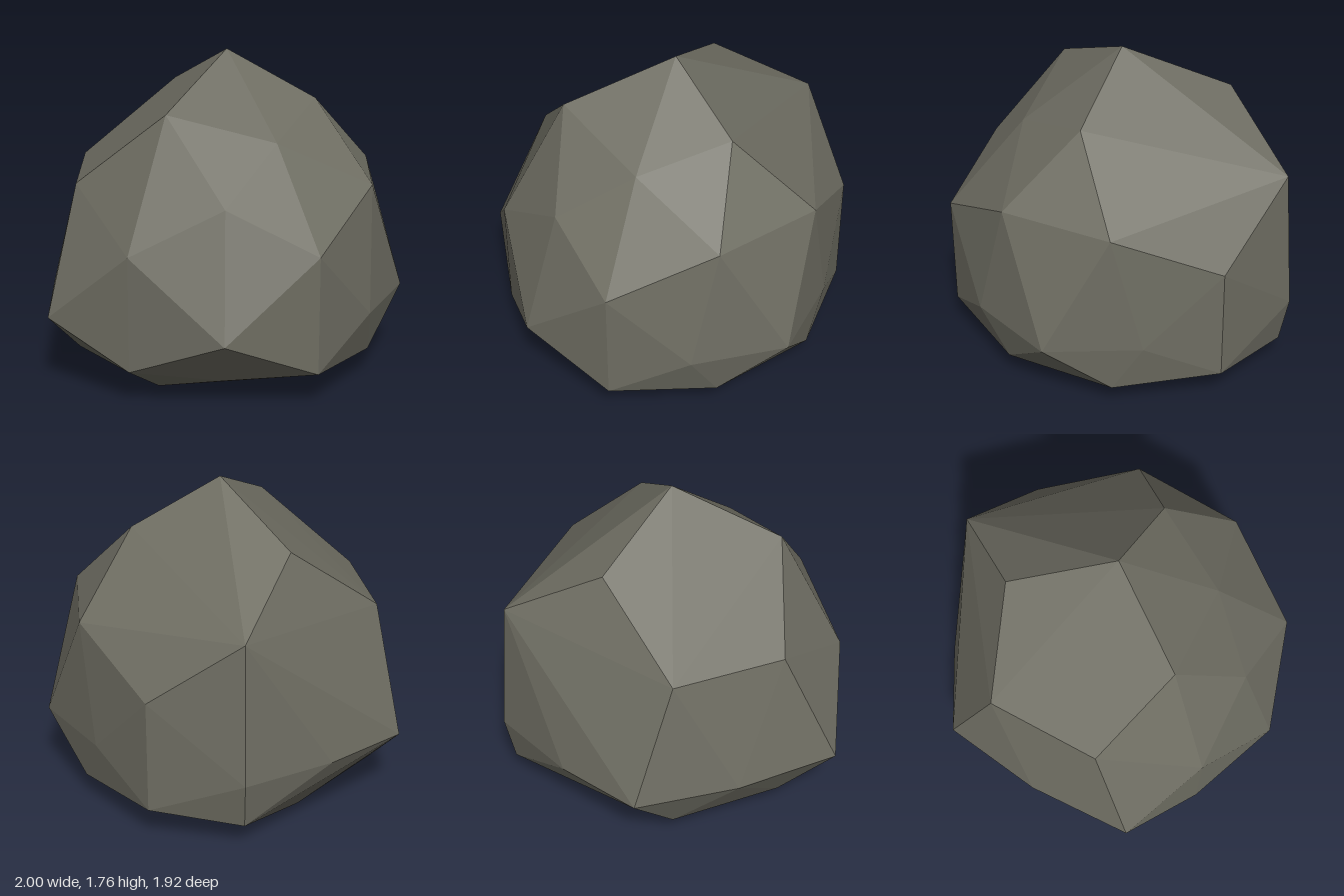
import * as THREE from 'three';
import { ConvexGeometry } from 'three/addons/geometries/ConvexGeometry.js';

export function createModel() {
  const group = new THREE.Group();
  group.name = 'boulder';
  const stone = new THREE.MeshStandardMaterial({ color: 0x6e6d62, flatShading: true });
  stone.name = 'stone';

  // corners of the rock, grouped by height
  const crown = [
    [0.08, 1.76, 0], [-0.42, 1.5, -0.32], [0.03, 1.5, 0.6], [0.52, 1.49, -0.21],
    [0.13, 1.33, -0.52], [0.53, 1.34, 0.3],
  ];
  const shoulder = [
    [-0.8, 1.09, 0.08], [-0.5, 1.08, 0.65], [0.44, 1.07, 0.72],
    [0.93, 1.08, -0.06], [0.66, 1.08, -0.64], [-0.35, 1.2, -0.87],
  ];
  const flank = [[0, 0.82, 0.96], [0.89, 0.83, 0.53], [0.16, 0.83, -0.96]];
  const belt = [
    [-1, 0.41, -0.11], [-0.8, 0.41, 0.44], [-0.5, 0.41, 0.96], [0.54, 0.41, 0.92], [1, 0.41, 0.1],
    [0.97, 0.41, -0.44], [0.54, 0.41, -0.76], [-0.37, 0.41, -0.92], [-0.73, 0.41, -0.53],
  ];
  const base = [
    [0.08, 0, 0], [-0.5, 0.025, -0.38], [0.03, 0.025, 0.7], [0.62, 0.012, -0.25], [0.15, 0.06, -0.6],
  ];
  // the underside repeats the shoulder and flank outline, squashed towards the ground
  const lowered = (ring, y) => ring.map(([x, , z]) => [x, y, z]);

  const corners = [
    ...crown, ...shoulder, ...flank, ...belt,
    ...lowered(flank, 0.19), ...lowered(shoulder, 0.14), ...base,
  ].map((p) => new THREE.Vector3(...p));

  const rock = new THREE.Mesh(new ConvexGeometry(corners), stone);
  rock.name = 'rock';
  group.add(rock);
  return group;
}
